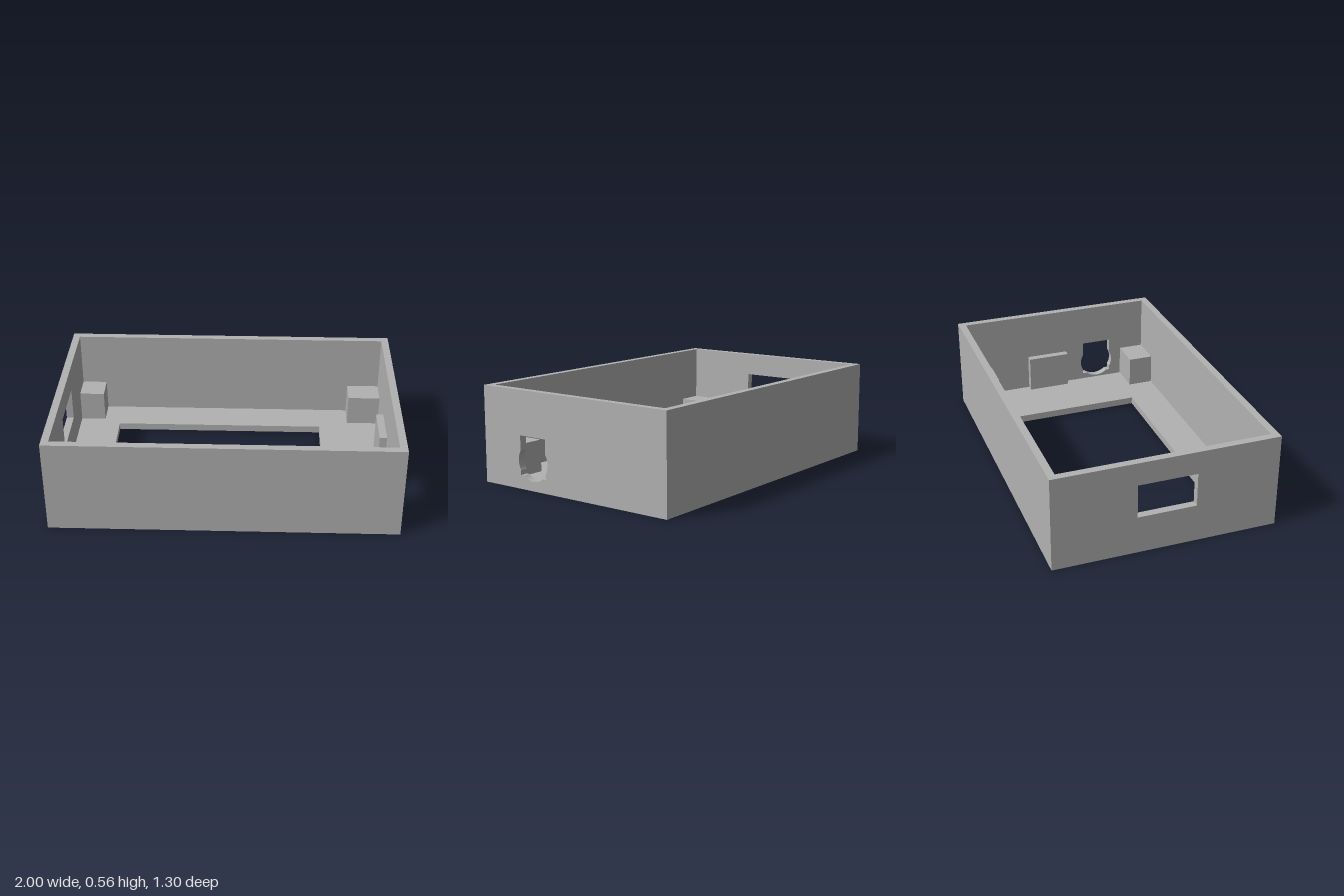
import * as THREE from 'three';

const W = 2, H = 0.56, D = 1.3, T = 0.043; // outer size and wall thickness

export function createModel() {
  const model = new THREE.Group();
  model.name = 'enclosure';
  const grey = new THREE.MeshStandardMaterial({ color: 0xb2b2b2 });
  grey.name = 'grey plastic';

  const add = (name, geometry) => {
    const mesh = new THREE.Mesh(geometry, grey);
    mesh.name = name;
    model.add(mesh);
    return mesh;
  };

  // Box given by its lower and upper corners
  const block = (name, x0, x1, y0, y1, z0, z1) => {
    add(name, new THREE.BoxGeometry(x1 - x0, y1 - y0, z1 - z0))
      .position.set((x0 + x1) / 2, (y0 + y1) / 2, (z0 + z1) / 2);
  };

  const rectangle = (path, x0, x1, y0, y1) => {
    path.moveTo(x0, y0).lineTo(x1, y0).lineTo(x1, y1).lineTo(x0, y1).closePath();
    return path;
  };

  // Plate of wall thickness with one opening
  const plate = (x0, x1, y0, y1, opening) => {
    const shape = rectangle(new THREE.Shape(), x0, x1, y0, y1);
    shape.holes.push(opening);
    return new THREE.ExtrudeGeometry(shape, { depth: T, bevelEnabled: false, curveSegments: 16 });
  };

  // Floor with the display window
  const ix = W / 2 - T, iz = D / 2 - T;
  const window = rectangle(new THREE.Path(), -0.705, 0.58, -0.4, 0.4);
  add('floor', plate(-ix, ix, -iz, iz, window).rotateX(-Math.PI / 2));

  // Plain front and back walls
  block('frontWall', -ix, ix, 0, H, iz, D / 2);
  block('backWall', -ix, ix, 0, H, -D / 2, -iz);

  // Socket opening: a rectangle merged with a circle
  const cz = 0.28, cy = 0.163, r = 0.109, half = 0.094, low = 0.08, top = 0.305;
  const a = Math.acos(half / r), b = Math.asin((cy - low) / r);
  const socket = new THREE.Path();
  socket.moveTo(cz + half, top).lineTo(cz - half, top);
  socket.absarc(cz, cy, r, Math.PI - a, Math.PI + a, false);
  socket.lineTo(cz - half, low);
  socket.absarc(cz, cy, r, Math.PI + b, 2 * Math.PI - b, false);
  socket.lineTo(cz + half, low);
  socket.absarc(cz, cy, r, -a, a, false);
  socket.closePath();

  // Side walls, each with its opening
  const port = rectangle(new THREE.Path(), -0.17, 0.17, 0.225, 0.425);
  const sideWall = (name, opening, x) =>
    add(name, plate(-D / 2, D / 2, 0, H, opening).rotateY(-Math.PI / 2).translate(x, 0, 0));
  sideWall('socketWall', socket, W / 2);
  sideWall('portWall', port, -ix);

  // Corner mounting posts
  for (const [z0, z1] of [[-iz, -0.453], [0.453, iz]]) {
    block('cornerPost', -ix, -0.805, T, 0.23, z0, z1);
    block('cornerPost', 0.76, ix, T, 0.23, z0, z1);
  }

  // Small rest on the inside of the socket wall
  block('boardRest', 0.913, ix, T, 0.267, -0.2, 0.063);

  return model;
}
